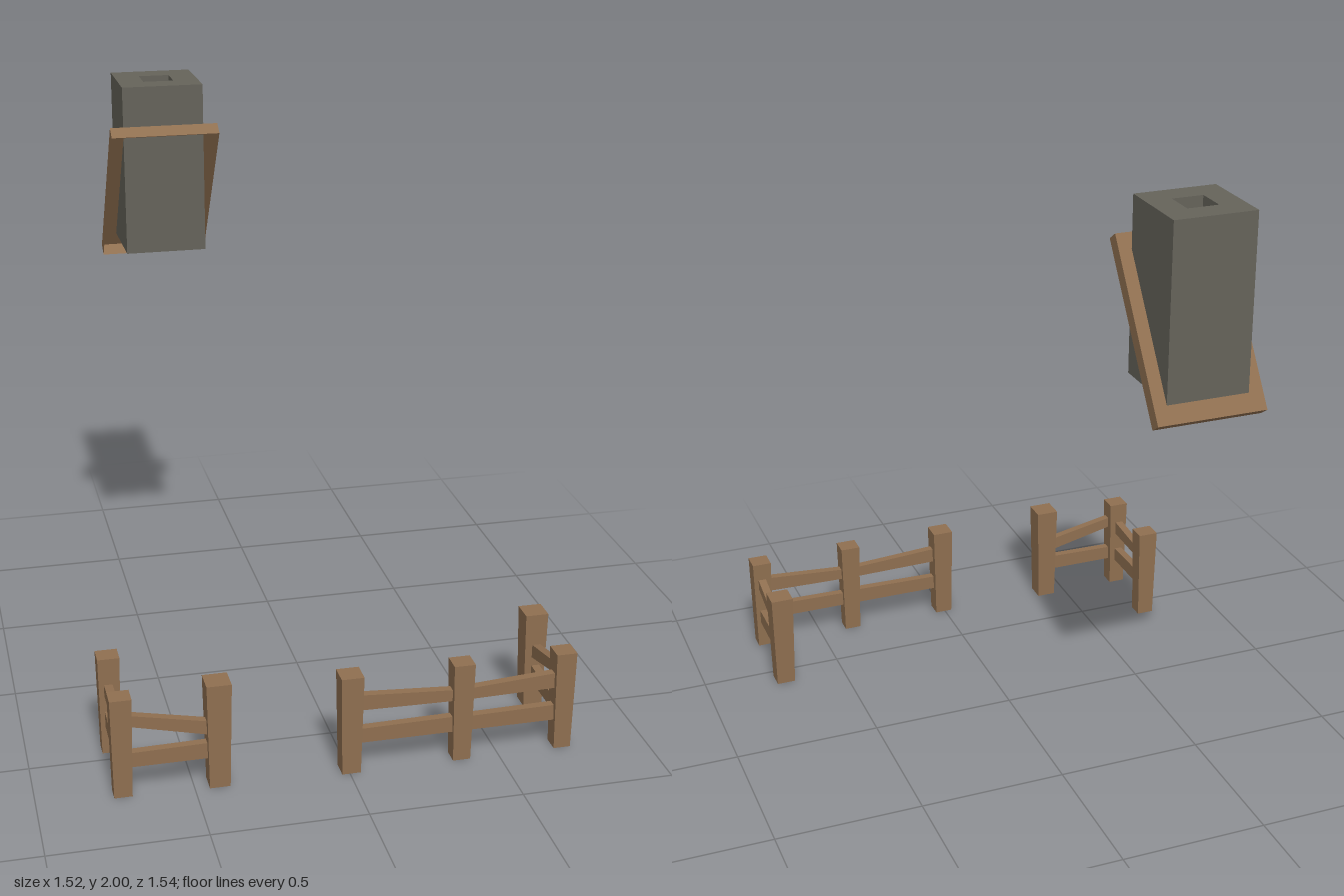
import * as THREE from 'three';

const TOP = 2, BOTTOM = 3; // face numbers within a BoxGeometry

// Box with some faces left out
function openBox(w, h, d, missing) {
  const geo = new THREE.BoxGeometry(w, h, d);
  const index = Array.from(geo.index.array);
  geo.setIndex(index.filter((_, i) => !missing.includes(Math.floor(i / 6))));
  geo.clearGroups();
  return geo;
}

export function createModel() {
  const wood = new THREE.MeshStandardMaterial({ color: 0x8f6f50, side: THREE.DoubleSide });
  wood.name = 'brown wood';
  const stone = new THREE.MeshStandardMaterial({ color: 0x65635a, side: THREE.DoubleSide });
  stone.name = 'grey stone';

  const model = new THREE.Group();
  model.name = 'chimneyAndFences';

  function add(parent, name, geo, mat, x, y, z) {
    const mesh = new THREE.Mesh(geo, mat);
    mesh.name = name;
    mesh.position.set(x, y, z);
    parent.add(mesh);
    return mesh;
  }

  // Chimney: hollow shaft, top rim with a flue opening, and the flue pit
  const chimney = new THREE.Group();
  chimney.name = 'chimney';
  chimney.position.set(-0.362, 0, -0.595);
  model.add(chimney);
  const W = 0.276, D = 0.28, H = 0.58, F = 0.104, PIT = 0.08;
  add(chimney, 'chimneyShaft', openBox(W, H, D, [TOP, BOTTOM]), stone, 0, 2 - H / 2, 0);
  const rect = (w, d, Type) => new Type([[-w, -d], [w, -d], [w, d], [-w, d]]
    .map(([x, y]) => new THREE.Vector2(x / 2, y / 2)));
  const rimShape = rect(W, D, THREE.Shape);
  rimShape.holes.push(rect(F, F, THREE.Path));
  add(chimney, 'chimneyRim', new THREE.ShapeGeometry(rimShape).rotateX(-Math.PI / 2), stone, 0, 2, 0);
  add(chimney, 'chimneyFlue', openBox(F, PIT, F, [TOP]), stone, 0, 2 - PIT / 2, 0);

  // Slanted wooden collar, open underneath
  const collar = add(model, 'chimneyCollar', openBox(0.368, 0.047, 0.608, [BOTTOM]), wood, -0.365, 1.607, -0.578);
  collar.rotation.x = -0.968;

  // Post: tapers toward the foot
  function post(parent, x, z, w, d, h) {
    const geo = openBox(w, h, d, [BOTTOM]);
    const p = geo.attributes.position;
    for (let i = 0; i < p.count; i++) {
      if (p.getY(i) < 0) p.setXYZ(i, p.getX(i) * 0.83, p.getY(i), p.getZ(i) * 0.83);
    }
    geo.computeVertexNormals();
    add(parent, 'fencePost', geo, wood, x, h / 2, z);
  }

  // Rail between two points; each end has its own bottom and top height
  function rail(parent, name, [x0, z0], [x1, z1], [b0, t0], [b1, t1]) {
    const length = Math.hypot(x1 - x0, z1 - z0);
    const geo = new THREE.BoxGeometry(length, 1, 0.028);
    const p = geo.attributes.position;
    for (let i = 0; i < p.count; i++) {
      const start = p.getX(i) < 0, low = p.getY(i) < 0;
      p.setY(i, start ? (low ? b0 : t0) : (low ? b1 : t1));
    }
    geo.computeVertexNormals();
    const mesh = add(parent, name, geo, wood, (x0 + x1) / 2, 0, (z0 + z1) / 2);
    mesh.rotation.y = -Math.atan2(z1 - z0, x1 - x0);
  }

  const flat = [[0.1, 0.15], [0.1, 0.155]];
  const fences = [
    {
      name: 'rightFence',
      posts: [[-0.727, 0.432, 0.072, 0.066, 0.345], [-0.727, 0.708, 0.07, 0.066, 0.345], [-0.42, 0.711, 0.08, 0.082, 0.365]],
      rails: [
        [[-0.73, 0.708], [-0.73, 0.432], [0.22, 0.27], [0.212, 0.25]],
        [[-0.727, 0.714], [-0.42, 0.714], [0.25, 0.288], [0.177, 0.225]],
      ],
    },
    {
      name: 'leftFence',
      posts: [[0.005, 0.729, 0.074, 0.074, 0.345], [0.374, 0.731, 0.07, 0.066, 0.345],
        [0.718, 0.73, 0.068, 0.068, 0.345], [0.718, 0.441, 0.078, 0.078, 0.345]],
      rails: [
        [[0.005, 0.732], [0.374, 0.732], [0.218, 0.273], [0.212, 0.25]],
        [[0.374, 0.732], [0.718, 0.732], [0.212, 0.25], [0.218, 0.273]],
        [[0.72, 0.73], [0.72, 0.441], [0.25, 0.288], [0.177, 0.225]],
      ],
    },
  ];
  for (const { name, posts, rails } of fences) {
    const fence = new THREE.Group();
    fence.name = name;
    model.add(fence);
    posts.forEach((p) => post(fence, ...p));
    for (const [from, to, start, end] of rails) {
      rail(fence, 'upperRail', from, to, start, end);
      rail(fence, 'lowerRail', from, to, ...flat);
    }
  }
  return model;
}
